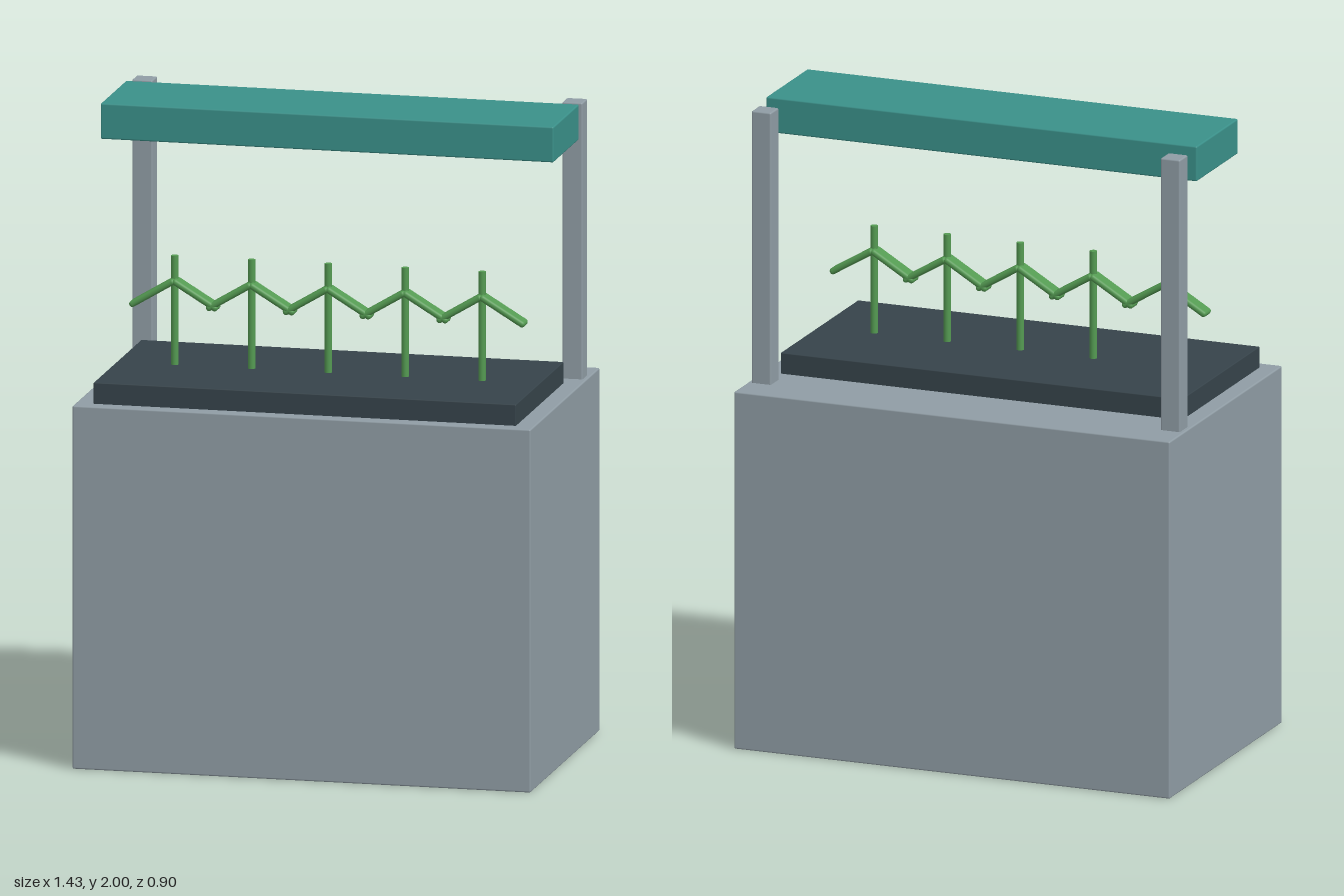
import * as THREE from 'three';
import { RoundedBoxGeometry } from 'three/addons/geometries/RoundedBoxGeometry.js';

const material = (name, color) => {
  const m = new THREE.MeshStandardMaterial({ color });
  m.name = name;
  return m;
};

export function createModel() {
  const metal = material('grey metal', 0x8f9ca4);
  const teal = material('teal canopy', 0x3a9089);
  const soil = material('dark tray', 0x36434a);
  const green = material('plant green', 0x549a52);
  const model = new THREE.Group();
  model.name = 'planterStand';

  // Softly rounded box given by its min and max corners
  const box = (name, mat, [x0, y0, z0], [x1, y1, z1], radius = 0.005) => {
    const mesh = new THREE.Mesh(new RoundedBoxGeometry(x1 - x0, y1 - y0, z1 - z0, 2, radius), mat);
    mesh.position.set((x0 + x1) / 2, (y0 + y1) / 2, (z0 + z1) / 2);
    mesh.name = name;
    model.add(mesh);
  };

  // Cabinet, growing tray and overhead canopy
  box('cabinet', metal, [-0.716, 0, -0.448], [0.716, 1.13, 0.448]);
  box('tray', soil, [-0.66, 1.125, -0.212], [0.66, 1.196, 0.405], 0.003);
  box('canopy', teal, [-0.708, 1.889, -0.212], [0.708, 2, 0.117]);

  // Rear posts
  for (const side of [-1, 1]) {
    const x = side * 0.672;
    box(side > 0 ? 'leftPost' : 'rightPost', metal, [x - 0.032, 1.125, -0.338], [x + 0.032, 1.99, -0.274]);
  }

  // Row of seedlings, each a stem with two drooping leaves
  const stemGeometry = new THREE.CylinderGeometry(0.0115, 0.0115, 0.34, 16);
  const leafGeometry = new RoundedBoxGeometry(0.163, 0.02, 0.053, 3, 0.0095);
  for (let i = -2; i <= 2; i++) {
    const plant = new THREE.Group();
    plant.name = 'seedling';
    plant.position.set(i * 0.24, 0, 0.098);
    const stem = new THREE.Mesh(stemGeometry, green);
    stem.name = 'stem';
    stem.position.y = 1.365;
    plant.add(stem);
    for (const side of [-1, 1]) {
      const leaf = new THREE.Mesh(leafGeometry, green);
      leaf.name = side > 0 ? 'leftLeaf' : 'rightLeaf';
      leaf.position.set(side * 0.067, 1.418, 0);
      leaf.rotation.z = -side * 0.54;
      plant.add(leaf);
    }
    model.add(plant);
  }
  return model;
}
